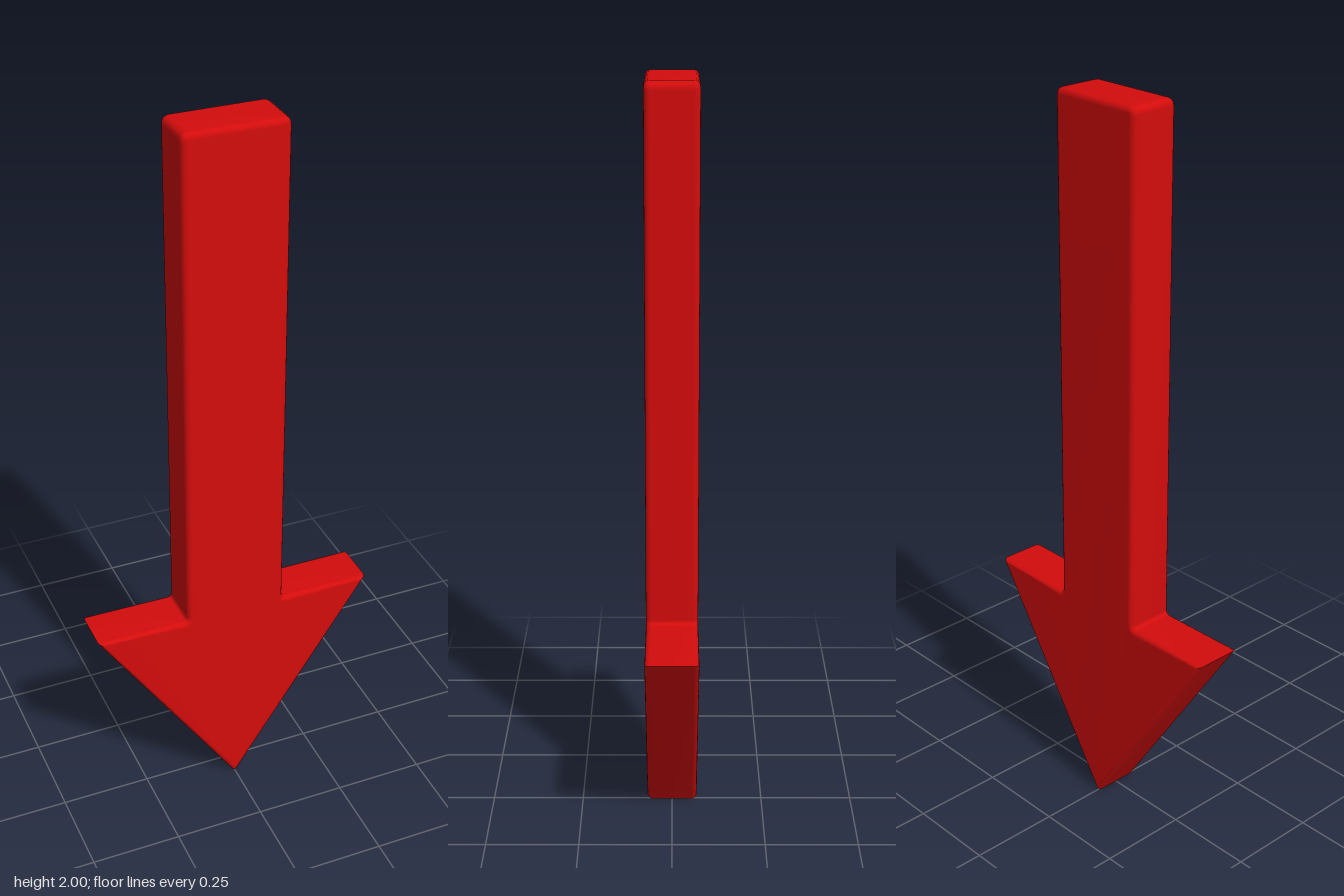
import * as THREE from 'three';

// Area-weighted normals that stay sharp across edges steeper than the crease angle
function weightedCreasedNormals(source, crease) {
  const geometry = source.toNonIndexed();
  const pos = geometry.attributes.position;
  const corners = new Map(), faces = [];
  const key = i => [pos.getX(i), pos.getY(i), pos.getZ(i)].map(v => Math.round(v * 1e5)).join();
  const [a, b, c] = [0, 1, 2].map(() => new THREE.Vector3());
  for (let i = 0; i < pos.count; i += 3) {
    a.fromBufferAttribute(pos, i);
    b.fromBufferAttribute(pos, i + 1).sub(a);
    c.fromBufferAttribute(pos, i + 2).sub(a);
    const area = new THREE.Vector3().crossVectors(b, c);
    const face = { area, unit: area.clone().normalize() };
    faces.push(face);
    for (let k = 0; k < 3; k++) {
      const id = key(i + k);
      if (!corners.has(id)) corners.set(id, []);
      corners.get(id).push(face);
    }
  }
  const limit = Math.cos(crease), normals = [];
  for (let i = 0; i < pos.count; i++) {
    const own = faces[Math.floor(i / 3)], n = new THREE.Vector3();
    for (const f of corners.get(key(i))) if (f.unit.dot(own.unit) > limit) n.add(f.area);
    n.normalize();
    normals.push(n.x, n.y, n.z);
  }
  geometry.setAttribute('normal', new THREE.Float32BufferAttribute(normals, 3));
  return geometry;
}

// Outline: pointed head below, straight shaft with rounded top corners above
function arrowOutline() {
  const shaft = 0.14, wing = 0.395, neck = 0.595, top = 2, r = 0.022, fillet = 0.012;
  const s = new THREE.Shape();
  s.moveTo(-0.005, 0);
  s.lineTo(0.005, 0);
  s.lineTo(wing, neck);
  s.lineTo(shaft + fillet, neck);
  s.quadraticCurveTo(shaft, neck, shaft, neck + fillet);
  s.lineTo(shaft, top - r);
  s.quadraticCurveTo(shaft, top, shaft - r, top);
  s.lineTo(-shaft + r, top);
  s.quadraticCurveTo(-shaft, top, -shaft, top - r);
  s.lineTo(-shaft, neck + fillet);
  s.quadraticCurveTo(-shaft, neck, -shaft - fillet, neck);
  s.lineTo(-wing, neck);
  s.closePath();
  return s;
}

export function createModel() {
  const group = new THREE.Group();
  group.name = 'downArrow';

  // One solid slab with softly rounded front and back edges
  const thickness = 0.138, bevel = 0.015;
  const depth = thickness - 2 * bevel;
  const slab = new THREE.ExtrudeGeometry(arrowOutline(), {
    depth, curveSegments: 4,
    bevelEnabled: true, bevelThickness: bevel, bevelSize: bevel,
    bevelOffset: -bevel, bevelSegments: 4,
  });
  slab.translate(0, 0, -depth / 2);

  const arrow = new THREE.Mesh(
    weightedCreasedNormals(slab, 0.75),
    new THREE.MeshStandardMaterial({ color: 0xd40c0c })
  );
  arrow.name = 'arrowBody';
  group.add(arrow);
  return group;
}
